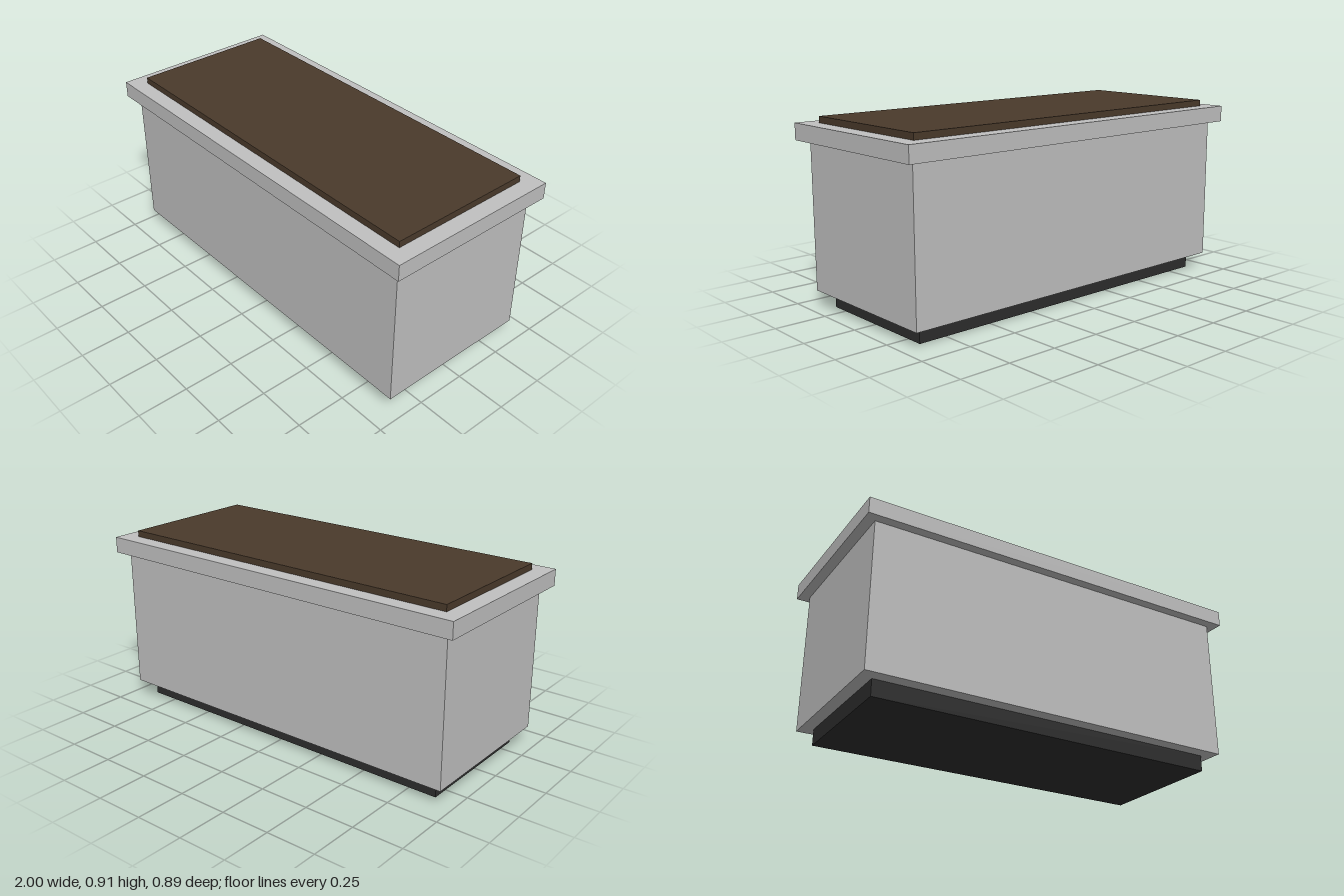
import * as THREE from 'three';

function material(name, color) {
  const m = new THREE.MeshStandardMaterial({ color });
  m.name = name;
  return m;
}

export function createModel() {
  const planter = new THREE.Group();
  planter.name = 'planterBox';

  const concrete = material('concreteGrey', 0xc0c0c0);
  const soilBrown = material('soilBrown', 0x4a3a2b);
  const charcoal = material('charcoal', 0x2d2d2d);

  // Stacked slabs: name, width, depth, bottom, top, material
  const slabs = [
    ['recessedPlinth', 1.778, 0.667, 0, 0.08, charcoal],
    ['body', 1.9, 0.796, 0.08, 0.795, concrete],
    ['rim', 2, 0.889, 0.795, 0.875, concrete],
    ['soil', 1.838, 0.731, 0.875, 0.906, soilBrown],
  ];

  for (const [name, width, depth, bottom, top, mat] of slabs) {
    const slab = new THREE.Mesh(new THREE.BoxGeometry(width, top - bottom, depth), mat);
    slab.name = name;
    slab.position.y = (bottom + top) / 2;
    planter.add(slab);
  }
  return planter;
}
